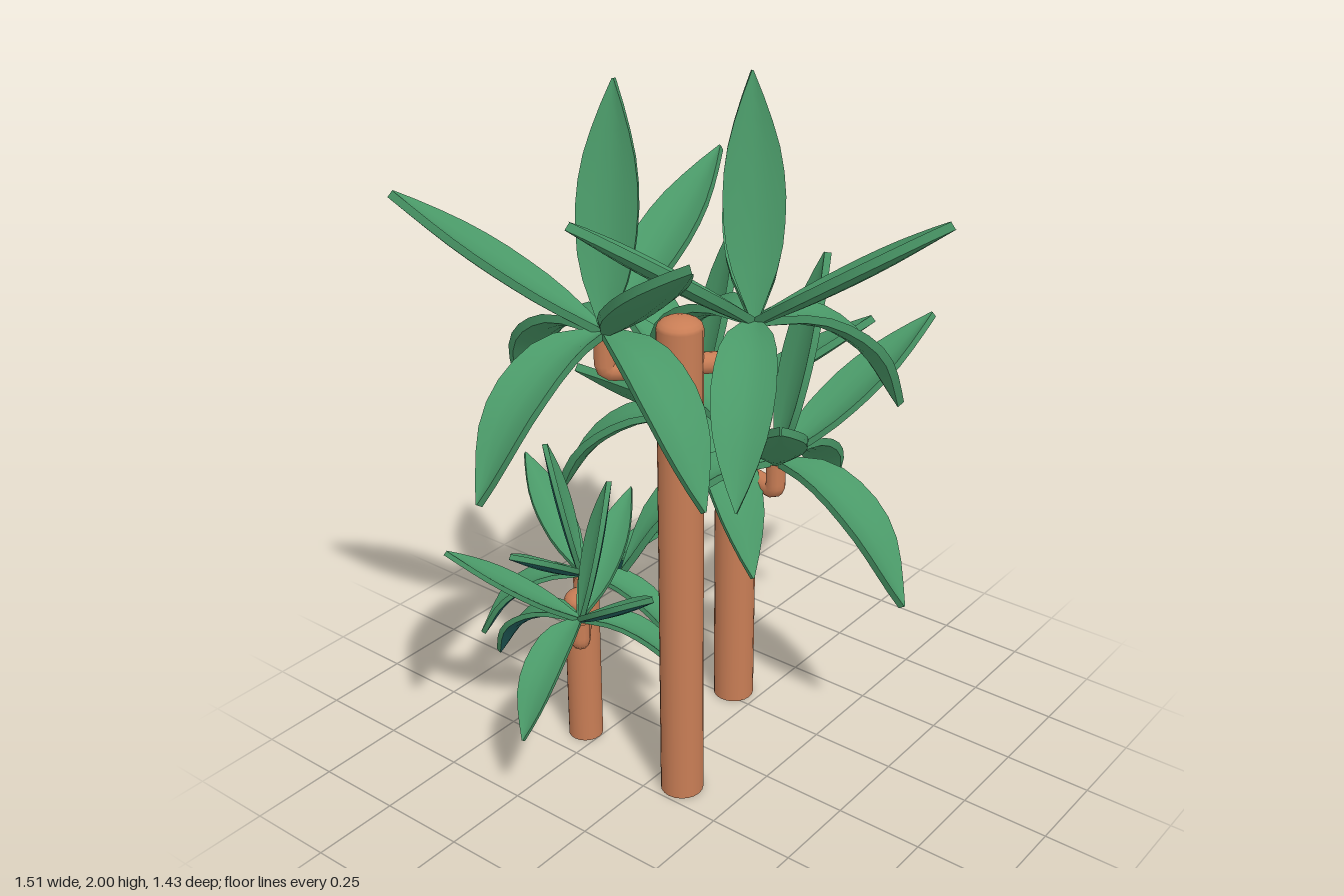
import * as THREE from 'three';
import { mergeGeometries } from 'three/addons/utils/BufferGeometryUtils.js';

const material = (name, color) => {
  const m = new THREE.MeshStandardMaterial({ color });
  m.name = name;
  return m;
};

// Sheet of quads through rows of points, with smooth normals of its own
function sheet(rows) {
  const n = rows[0].length, index = [];
  for (let i = 0; i < rows.length - 1; i++) {
    for (let j = 0; j < n - 1; j++) {
      const a = i * n + j, b = a + 1, c = a + n, d = c + 1;
      index.push(a, b, c, b, d, c);
    }
  }
  const g = new THREE.BufferGeometry().setFromPoints(rows.flat());
  g.setIndex(index);
  g.computeVertexNormals();
  return g;
}

// Half width of a leaf along its length
const WIDTHS = [0.011, 0.034, 0.056, 0.07, 0.076, 0.078, 0.074, 0.064, 0.047, 0.026, 0.002];

// Channelled leaf: grows along +x, rises along y, spreads along z
function leafGeometry(path) {
  const curve = new THREE.CatmullRomCurve3(path.map(([x, y]) => new THREE.Vector3(x, y, 0)));
  const top = [], bottom = [];
  WIDTHS.forEach((w, i) => {
    const t = i / (WIDTHS.length - 1);
    const p = curve.getPointAt(t), tan = curve.getTangentAt(t);
    const normal = new THREE.Vector3(-tan.y, tan.x, 0);
    const point = (s, depth) => p.clone()
      .addScaledVector(normal, 0.32 * w * s * s - depth)
      .add(new THREE.Vector3(0, 0, s * w));
    const across = [-1, -0.5, 0, 0.5, 1];
    top.push(across.map((s) => point(s, 0)));
    bottom.push(across.map((s) => point(s * 0.97, 0.021)));
  });
  const upper = mergeGeometries([
    sheet(top),
    sheet(top.map((r, i) => [bottom[i][0], r[0]])),
    sheet(top.map((r, i) => [r[4], bottom[i][4]])),
  ]);
  const under = sheet(bottom.map((r) => [...r].reverse()));
  return mergeGeometries([upper, under], true);
}

export function createModel() {
  const model = new THREE.Group();
  model.name = 'palmCluster';
  const bark = material('bark', 0xc87d55);
  bark.side = THREE.DoubleSide;
  const green = material('leafGreen', 0x4a9968);
  const teal = material('leafTeal', 0x23625f);

  const leaves = {
    uprightLeaf: leafGeometry([[0, 0], [0.045, 0.18], [0.09, 0.39], [0.125, 0.59]]),
    raisedLeaf: leafGeometry([[0, 0], [0.16, 0.095], [0.33, 0.21], [0.5, 0.34]]),
    droopingLeaf: leafGeometry([[0, 0], [0.15, -0.015], [0.31, -0.12], [0.44, -0.31]]),
  };

  // Heads: position, then leaf directions in degrees from +x towards +z
  const palms = [
    {
      name: 'tallPalm', x: -0.18, z: 0.085, r: 0.06, h: 1.43, headY: 1.41, drop: 0.11, size: 1, under: green,
      heads: [
        { x: -0.32, z: -0.04, up: -25, raised: -3, droop: [184, 286, 108] },
        { x: -0.04, z: 0.21, up: -42, raised: 82, droop: [29, 149, 286] },
      ],
    },
    {
      name: 'middlePalm', x: 0.283, z: -0.08, r: 0.06, h: 0.885, headY: 0.87, drop: 0.1, size: 1, under: green,
      heads: [
        { x: 0.32, z: -0.26, up: 32, raised: 60, droop: [247, 347, 120] },
        { x: 0.24, z: 0.09, up: 32, raised: 24, droop: [348, 91, 222] },
      ],
    },
    {
      name: 'shortPalm', x: -0.15, z: -0.3, r: 0.05, h: 0.485, headY: 0.475, drop: 0.08, size: 0.7, under: teal,
      heads: [
        { x: -0.06, z: -0.375, up: 236, raised: 51, droop: [236, 340, 70] },
        { x: -0.25, z: -0.22, up: 35, raised: 105, droop: [170, 266, 55] },
      ],
    },
  ];

  for (const p of palms) {
    const palm = new THREE.Group();
    palm.name = p.name;
    model.add(palm);

    // Hollow trunk with a softly rounded top
    const { r, h } = p, dome = 0.03;
    const side = new THREE.CylinderGeometry(r, r, h - dome, 20, 1, true).translate(0, (h - dome) / 2, 0);
    const crown = new THREE.SphereGeometry(r, 20, 5, 0, Math.PI * 2, 0, Math.PI / 2)
      .scale(1, dome / r, 1).translate(0, h - dome, 0);
    const trunk = new THREE.Mesh(mergeGeometries([side, crown]), bark);
    trunk.name = 'trunk';
    trunk.position.set(p.x, 0, p.z);
    palm.add(trunk);

    for (const head of p.heads) {
      // Elbow branch from the trunk up to the leaf head
      const low = p.headY - p.drop;
      const corner = new THREE.Vector3(head.x, low, head.z);
      const start = new THREE.Vector3(p.x, low, p.z);
      const elbow = new THREE.CurvePath();
      const before = corner.clone().lerp(start, 0.12);
      const after = corner.clone().setY(low + 0.02);
      elbow.add(new THREE.LineCurve3(start, before));
      elbow.add(new THREE.QuadraticBezierCurve3(before, corner, after));
      elbow.add(new THREE.LineCurve3(after, new THREE.Vector3(head.x, p.headY - 0.01, head.z)));
      const branch = new THREE.Mesh(new THREE.TubeGeometry(elbow, 24, 0.028, 12), bark);
      branch.name = 'branch';
      palm.add(branch);

      // Leaf head: one upright, three raised and three drooping leaves
      const rosette = new THREE.Group();
      rosette.name = 'leafHead';
      rosette.position.set(head.x, p.headY, head.z);
      rosette.scale.setScalar(p.size);
      palm.add(rosette);
      const addLeaf = (name, angle) => {
        const leaf = new THREE.Mesh(leaves[name], [green, p.under]);
        leaf.name = name;
        leaf.rotation.y = -THREE.MathUtils.degToRad(angle);
        rosette.add(leaf);
      };
      addLeaf('uprightLeaf', head.up);
      for (let k = 0; k < 3; k++) {
        addLeaf('raisedLeaf', head.raised + k * 120);
        addLeaf('droopingLeaf', head.droop[k]);
      }
    }
  }
  return model;
}
